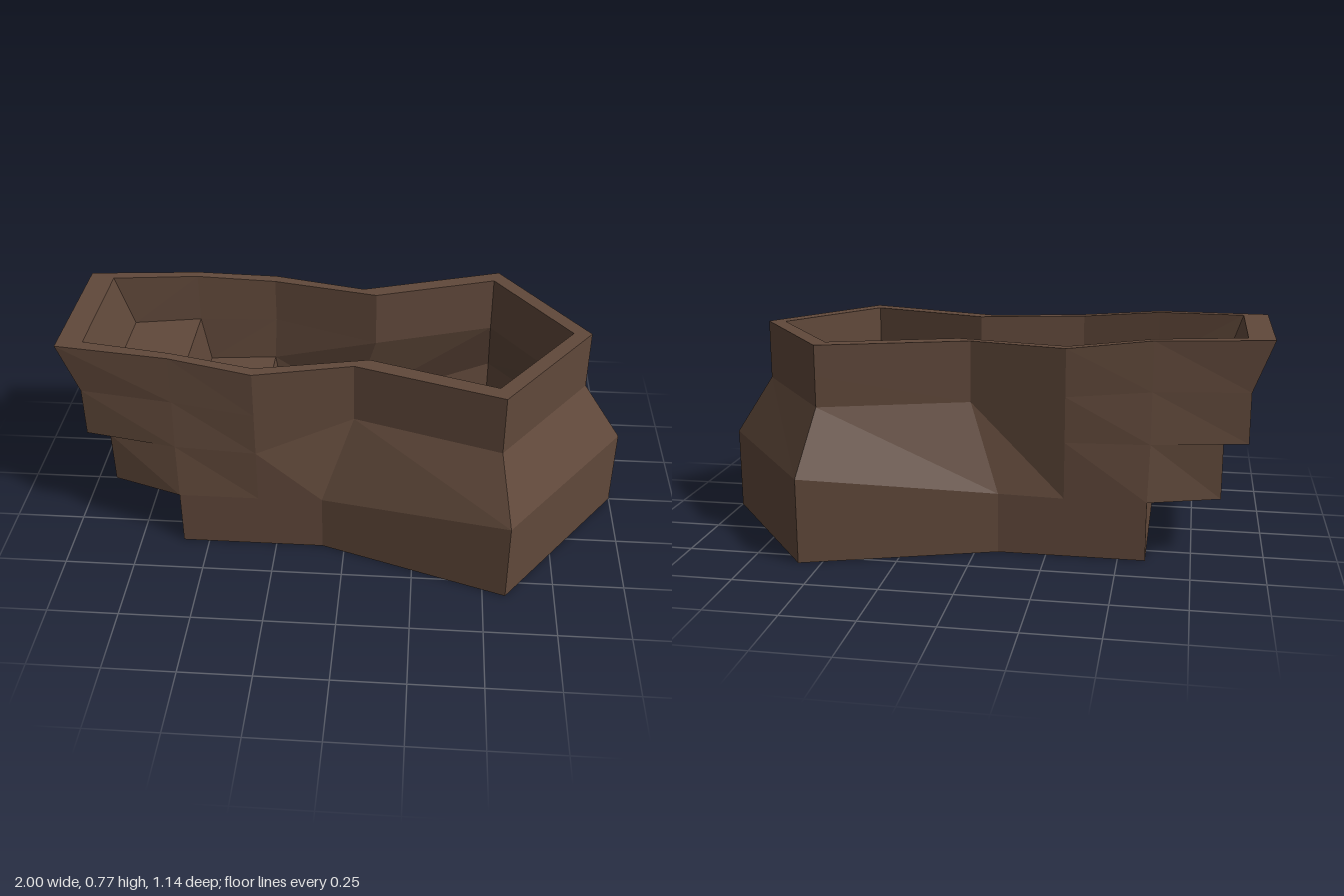
import * as THREE from 'three';

const material = new THREE.MeshStandardMaterial({ color: 0x60483a, flatShading: true });

// Skin a grid of columns (each a list of [x, y, z] points), optionally closed into a loop
function skin(name, columns, { closed = false, flip = false } = {}) {
  const pos = [];
  const tri = (...pts) => {
    const [a, b, c] = pts.map((p) => new THREE.Vector3(...p));
    if (new THREE.Triangle(a, b, c).getArea() < 1e-6) return;
    for (const p of flip ? [a, c, b] : [a, b, c]) pos.push(p.x, p.y, p.z);
  };
  const n = columns.length;
  for (let i = 0; i < (closed ? n : n - 1); i++) {
    const p = columns[i], q = columns[(i + 1) % n];
    for (let j = 0; j < p.length - 1; j++) {
      tri(p[j], p[j + 1], q[j + 1]);
      tri(p[j], q[j + 1], q[j]);
    }
  }
  const geo = new THREE.BufferGeometry();
  geo.setAttribute('position', new THREE.Float32BufferAttribute(pos, 3));
  geo.computeVertexNormals();
  const mesh = new THREE.Mesh(geo, material);
  mesh.name = name;
  return mesh;
}

const mirrorPoint = ([x, y, z]) => [x, y, -z];

// Half outline (+z side, ending on the pointed tip) to a full loop
const loop = (half) => [...half, ...half.slice(0, -1).reverse().map((c) => c.map(mirrorPoint))];

export function createModel() {
  const group = new THREE.Group();
  group.name = 'steppedTub';

  // Outer wall columns, rim to base, from the stepped end to the tip
  const outer = [
    [[-1, .77, .265], [-.93, .59, .265], [-.93, .41, .265], [-.845, .41, .27], [-.845, .21, .265], [-.595, .21, .35], [-.595, 0, .35]],
    [[-.6, .765, .31], [-.6, .59, .315], [-.6, .41, .33], [-.6, .41, .33], [-.595, .21, .35], [-.595, .21, .35], [-.595, 0, .35]],
    [[-.31, .737, .35], [-.31, .57, .35], [-.31, .41, .35], [-.31, .41, .35], [-.31, .21, .35], [-.31, .21, .35], [-.31, 0, .35]],
    [[.03, .737, .27], [.03, .63, .27], [.03, .52, .27], [.03, .52, .27], [-.08, .215, .35], [-.08, .215, .35], [-.08, 0, .35]],
    [[.54, .737, .435], [.54, .63, .435], [.54, .52, .435], [.54, .52, .435], [.58, .3, .57], [.58, .3, .57], [.58, 0, .57]],
    [[.855, .737, 0], [.855, .63, 0], [.855, .52, 0], [.855, .52, 0], [1, .3, 0], [1, .3, 0], [1, 0, 0]],
  ];

  // Cavity wall columns, rim down to the stepped floor
  const shelf = [-.845, .58, .23];
  const inner = [
    [[-.91, .77, .23], shelf, shelf, shelf],
    [[-.6, .765, .275], [-.6, .58, .275], [-.57, .4, .28], [-.57, .4, .28]],
    [[-.31, .737, .307], [-.31, .57, .307], [-.32, .4, .305], [-.29, .2, .31]],
    [[.08, .737, .225], [.08, .53, .225], [-.01, .2, .3], [-.01, .05, .3]],
    [[.52, .737, .37], [.52, .53, .37], [.53, .29, .49], [.53, .05, .49]],
    [[.79, .737, 0], [.79, .53, 0], [.93, .29, 0], [.93, .05, 0]],
  ];

  // Stepped floor inside the cavity, one point per crease
  const floor = [
    shelf, [-.6, .58, .275], [-.57, .4, .28], [-.32, .4, .305], [-.29, .2, .31],
    [-.01, .2, .3], [-.01, .05, .3], [.53, .05, .49], [.93, .05, 0],
  ];

  const outerLoop = loop(outer), innerLoop = loop(inner);
  const base = outer.map((c) => c[c.length - 1]);

  group.add(
    skin('outerWall', outerLoop, { closed: true }),
    skin('innerWall', innerLoop, { closed: true, flip: true }),
    skin('rim', outerLoop.map((c, i) => [innerLoop[i][0], c[0]]), { closed: true }),
    skin('steppedFloor', floor.map((p) => [mirrorPoint(p), p])),
    skin('base', base.map((p) => [p, mirrorPoint(p)])),
  );
  return group;
}
